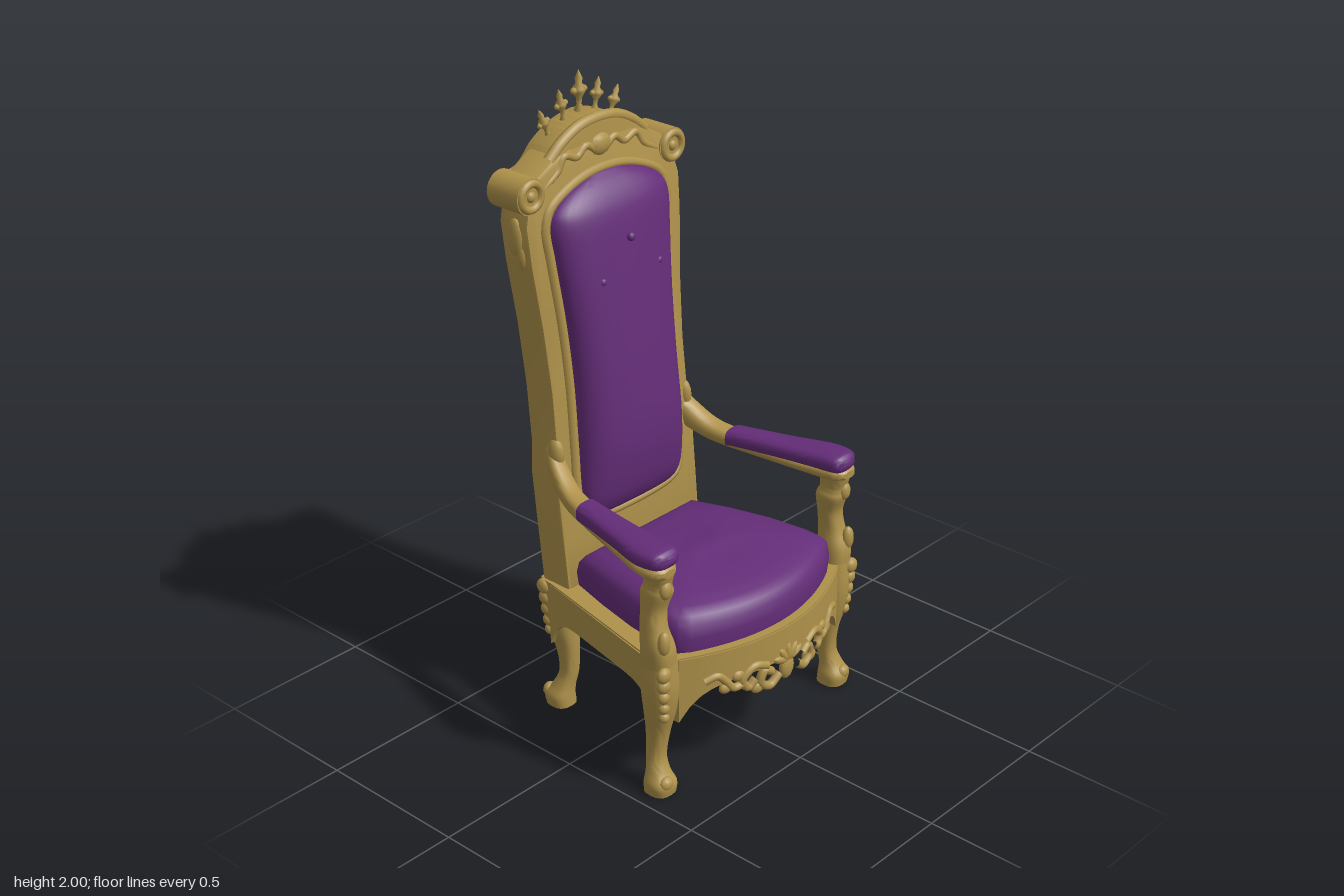
import * as THREE from 'three';
import { toCreasedNormals } from 'three/addons/utils/BufferGeometryUtils.js';

const V = (x, y, z) => new THREE.Vector3(x, y, z);
const gold = new THREE.MeshStandardMaterial({ color: 0xae914a });
gold.name = 'gold';
const purple = new THREE.MeshStandardMaterial({ color: 0x642d78 });
purple.name = 'purple velvet';

// Skin a list of closed rings, capped at both ends
function loft(rings, crease = 0.8) {
  const n = rings[0].length, pos = [], idx = [];
  rings.forEach(r => r.forEach(p => pos.push(p.x, p.y, p.z)));
  for (let i = 0; i < rings.length - 1; i++) for (let j = 0; j < n; j++) {
    const a = i * n + j, b = i * n + (j + 1) % n;
    idx.push(a, b, a + n, b, b + n, a + n);
  }
  [0, rings.length - 1].forEach((ri, end) => {
    const c = rings[ri].reduce((s, p) => s.add(p), V(0, 0, 0)).divideScalar(n);
    const k = pos.length / 3;
    pos.push(c.x, c.y, c.z);
    for (let j = 0; j < n; j++) {
      const a = ri * n + j, b = ri * n + (j + 1) % n;
      if (end) idx.push(k, a, b); else idx.push(k, b, a);
    }
  });
  const g = new THREE.BufferGeometry();
  g.setAttribute('position', new THREE.Float32BufferAttribute(pos, 3));
  g.setIndex(idx);
  return toCreasedNormals(g, crease);
}

// Smooth limb through [x, y, z, halfU, halfV] sections; power > 2 squares the section
function limb(secs, u, v, power = 2.6, steps = 28, sides = 20) {
  const c = new THREE.CatmullRomCurve3(secs.map(s => V(s[0], s[1], s[2])), false, 'catmullrom', 0.5);
  const r = new THREE.CatmullRomCurve3(secs.map(s => V(s[3], s[4], 0)), false, 'catmullrom', 0.5);
  const sp = t => Math.sign(t) * Math.abs(t) ** (2 / power);
  const rings = [];
  for (let i = 0; i <= steps; i++) {
    const p = c.getPoint(i / steps), q = r.getPoint(i / steps);
    rings.push(Array.from({ length: sides }, (_, j) => {
      const a = j / sides * Math.PI * 2;
      return p.clone().addScaledVector(u, sp(Math.cos(a)) * q.x).addScaledVector(v, sp(Math.sin(a)) * q.y);
    }));
  }
  return loft(rings);
}
const X = V(1, 0, 0), Y = V(0, 1, 0), Z = V(0, 0, 1);

const bow = z => 0.44 - 0.105 * (z / 0.36) ** 2;      // curved seat front
const backX = y => -0.30 - 0.096 * (y - 0.45);        // leaning rear plane
const faceX = y => backX(y) + 0.115;                  // leaning front plane

export function createModel() {
  const root = new THREE.Group();
  root.name = 'throneChair';
  const add = (name, geo, mat = gold) => {
    const m = new THREE.Mesh(geo, mat);
    m.name = name;
    root.add(m);
    return m;
  };
  const ball = (name, x, y, z, rx, ry, rz, mat = gold, tilt = 0) => {
    const m = add(name, new THREE.SphereGeometry(1, 12, 8), mat);
    m.position.set(x, y, z);
    m.scale.set(rx, ry, rz);
    m.rotation.x = tilt;
  };
  const tube = (name, pts, r, closed = false) => add(name,
    new THREE.TubeGeometry(new THREE.CatmullRomCurve3(pts, closed), pts.length * 6, r, 8, closed));

  // Seat frame slab
  const plan = new THREE.Shape();
  plan.moveTo(-0.31, -0.3);
  plan.lineTo(0.31, -0.43);
  for (let i = -9; i <= 9; i++) plan.lineTo(bow(i * 0.04), i * 0.04);
  plan.lineTo(0.31, 0.43);
  plan.lineTo(-0.31, 0.3);
  const slab = new THREE.ExtrudeGeometry(plan, { depth: 0.09, bevelEnabled: false });
  slab.rotateX(Math.PI / 2).translate(0, 0.455, 0);
  add('seatFrame', toCreasedNormals(slab, 0.5));

  // Arched rails under the slab
  const rail = (name, p, q, curved) => {
    const w = q.clone().sub(p).normalize(), v = w.clone().cross(Y), rings = [];
    for (let i = 0; i <= 24; i++) {
      const t = i / 24, c = p.clone().lerp(q, t);
      if (curved) c.x = bow(c.z) - 0.012;
      const low = 0.345 - 0.11 * Math.abs(2 * t - 1) ** 7;
      rings.push([[0.45, -1], [0.45, 1], [low, 1], [low, -1]].map(([y, k]) =>
        V(c.x, y, c.z).addScaledVector(v, k * 0.016)).reverse());
    }
    add(name, loft(rings.map(r => r.reverse()), 0.6));
  };
  rail('frontRail', V(0.33, 0, 0.37), V(0.33, 0, -0.37), true);
  rail('rearRail', V(-0.295, 0, -0.25), V(-0.295, 0, 0.25));
  rail('sideRail', V(-0.26, 0, 0.295), V(0.29, 0, 0.415));
  rail('sideRail', V(0.29, 0, -0.415), V(-0.26, 0, -0.295));

  // Seat cushion
  const edge = [[-0.19, 0.262], [-0.05, 0.3], [0.1, 0.333], [0.25, 0.354], [0.31, 0.352]];
  const outline = [...edge];
  for (let i = 8; i >= -8; i--) outline.push([bow(i * 0.04) - 0.022, i * 0.04]);
  edge.slice().reverse().forEach(([x, z]) => outline.push([x, -z]));
  const layers = [[0.45, 0.985], [0.5, 1], [0.545, 0.98], [0.567, 0.93], [0.582, 0.83], [0.592, 0.65], [0.599, 0.4], [0.6, 0.15]];
  add('seatCushion', loft(layers.map(([y, s]) => outline.map(([x, z]) =>
    V(0.1 + (x - 0.1) * s, y - (y > 0.52 ? 0.1 * (x - 0.12) ** 2 : 0), z * s))), 0.9), purple);

  // Leaning back frame
  const sides = [[0.45, 0.3], [0.62, 0.303], [0.82, 0.305], [0.92, 0.292], [1.1, 0.29], [1.3, 0.3], [1.5, 0.32], [1.62, 0.325], [1.74, 0.29], [1.8, 0.18], [1.83, 0.07]];
  const back = new THREE.Shape([
    ...sides.map(([y, z]) => new THREE.Vector2(z, y)),
    ...sides.slice().reverse().map(([y, z]) => new THREE.Vector2(-z, y))]);
  const lean = g => {
    const p = g.attributes.position;
    for (let i = 0; i < p.count; i++) p.setX(i, p.getX(i) + backX(p.getY(i)));
    return toCreasedNormals(g, 0.5);
  };
  add('backFrame', lean(new THREE.ExtrudeGeometry(back, {
    depth: 0.095, bevelThickness: 0.01, bevelSize: 0.008, bevelOffset: -0.008, bevelSegments: 2,
  }).rotateY(Math.PI / 2).translate(0.01, 0, 0)));

  // Back cushion: [y, half width, front x]
  const pad = [[0.655, 0.16, -0.19], [0.68, 0.2, -0.163], [0.75, 0.215, -0.135], [0.9, 0.212, -0.118], [1.1, 0.207, -0.135], [1.3, 0.215, -0.162],
    [1.5, 0.235, -0.193], [1.6, 0.243, -0.212], [1.65, 0.22, -0.232], [1.69, 0.15, -0.262], [1.718, 0.05, -0.295]];
  add('backCushion', limb(pad.map(([y, w, f]) => [faceX(y), y, 0, w, f - faceX(y)]), Z, X, 2.6, 44, 32), purple);
  const lip = pad.map(([y, w]) => V(faceX(y), y, w + 0.012));
  tube('cushionMoulding', [...lip, ...lip.slice().reverse().map(p => V(p.x, p.y, -p.z))], 0.016, true);
  [[1.53, 0, -0.194], [1.42, 0.12, -0.196], [1.42, -0.12, -0.196]].forEach(([y, z, x]) =>
    ball('cushionButton', x, y, z, 0.012, 0.014, 0.014, purple));

  // Crest rail
  const crest = new THREE.Shape();
  crest.moveTo(-0.3, 1.70);
  crest.bezierCurveTo(-0.22, 1.68, -0.2, 1.745, 0, 1.755);
  crest.bezierCurveTo(0.2, 1.745, 0.22, 1.68, 0.3, 1.70);
  crest.lineTo(0.29, 1.755);
  crest.bezierCurveTo(0.21, 1.74, 0.2, 1.79, 0.165, 1.815);
  crest.bezierCurveTo(0.1, 1.86, 0.06, 1.87, 0, 1.875);
  crest.bezierCurveTo(-0.06, 1.87, -0.1, 1.86, -0.165, 1.815);
  crest.bezierCurveTo(-0.2, 1.79, -0.21, 1.74, -0.29, 1.755);
  add('crestRail', toCreasedNormals(new THREE.ExtrudeGeometry(crest, {
    depth: 0.1, bevelThickness: 0.015, bevelSize: 0.01, bevelOffset: -0.01, bevelSegments: 3, curveSegments: 14,
  }).rotateY(Math.PI / 2).translate(-0.43, 0, 0), 0.6));
  tube('crestCap', [[-0.2, 1.785], [-0.15, 1.825], [-0.08, 1.858], [0, 1.868], [0.08, 1.858], [0.15, 1.825], [0.2, 1.785]]
    .map(([z, y]) => V(-0.33, y, z)), 0.018);
  ball('crestShell', -0.318, 1.79, 0, 0.02, 0.035, 0.045);

  // Crown finials fanning out from the crest
  [-2, -1, 0, 1, 2].forEach(k => {
    const f = new THREE.Group(), a = Math.abs(k);
    f.name = 'crownFinial';
    const stem = [[0.016, -0.02], [0.016, 0.005], [0.008, 0.02], [0.009, 0.04], [0.02, 0.058], [0.021, 0.07], [0.01, 0.085], [0.012, 0.1], [0.001, 0.125]];
    f.add(new THREE.Mesh(new THREE.LatheGeometry(stem.map(([r, y]) => new THREE.Vector2(r, y)), 10), gold));
    [-1, 1].forEach(s => {
      const b = new THREE.Mesh(new THREE.SphereGeometry(0.011, 8, 6), gold);
      b.position.set(0, 0.064, s * 0.021);
      f.add(b);
    });
    f.position.set(-0.4, [1.873, 1.858, 1.826][a], k * 0.064);
    f.rotation.x = k * 0.2;
    f.scale.setScalar([1, 0.82, 0.78][a]);
    root.add(f);
  });

  for (const s of [1, -1]) {
    // Shoulder scrolls and crest leaves
    const roll = add('shoulderScroll', new THREE.CylinderGeometry(0.056, 0.056, 0.125, 24).rotateZ(Math.PI / 2));
    roll.position.set(-0.365, 1.71, s * 0.3);
    const ring = add('scrollVolute', new THREE.TorusGeometry(0.04, 0.013, 8, 24).rotateY(Math.PI / 2));
    ring.position.set(-0.304, 1.71, s * 0.3);
    ball('scrollEye', -0.304, 1.71, s * 0.3, 0.012, 0.017, 0.017);
    tube('crestLeaf', [[0.02, 1.775], [0.06, 1.80], [0.1, 1.775], [0.15, 1.79], [0.18, 1.75], [0.24, 1.715]]
      .map(([z, y]) => V(-0.318, y, s * z)), 0.013);
    ball('stileLeaf', -0.35, 1.58, s * 0.322, 0.03, 0.06, 0.016);
    ball('stileLeaf', -0.33, 1.52, s * 0.316, 0.02, 0.04, 0.014);
    ball('stileLeaf', -0.245, 0.9, s * 0.285, 0.03, 0.05, 0.022);

    // Arm, arm pad and arm support
    add('armRail', limb([[-0.27, 0.87, s * 0.275, 0.06, 0.028], [-0.22, 0.835, s * 0.293, 0.045, 0.034], [-0.15, 0.797, s * 0.315, 0.032, 0.036],
      [-0.07, 0.781, s * 0.335, 0.028, 0.038], [0.1, 0.766, s * 0.374, 0.022, 0.045], [0.25, 0.762, s * 0.407, 0.024, 0.055],
      [0.31, 0.762, s * 0.41, 0.024, 0.048], [0.335, 0.762, s * 0.41, 0.012, 0.025]], Y, Z));
    add('armPad', limb([[-0.075, 0.788, s * 0.334, 0.031, 0.041], [0.1, 0.794, s * 0.374, 0.029, 0.051], [0.23, 0.798, s * 0.403, 0.031, 0.061],
      [0.3, 0.8, s * 0.406, 0.031, 0.056], [0.325, 0.8, s * 0.404, 0.025, 0.042], [0.337, 0.8, s * 0.402, 0.008, 0.016]], Y, Z, 2.8), purple);
    add('armSupport', limb([[0.283, 0.43, s * 0.403, 0.045, 0.055], [0.285, 0.5, s * 0.408, 0.045, 0.052], [0.272, 0.56, s * 0.41, 0.037, 0.042],
      [0.267, 0.62, s * 0.405, 0.037, 0.037], [0.275, 0.68, s * 0.4, 0.042, 0.048], [0.28, 0.71, s * 0.402, 0.035, 0.042],
      [0.285, 0.765, s * 0.405, 0.044, 0.05]], Z, X));
    ball('supportLeaf', 0.325, 0.53, s * 0.425, 0.018, 0.04, 0.022);
    ball('supportLeaf', 0.318, 0.7, s * 0.41, 0.016, 0.03, 0.022);

    // Cabriole legs
    add('frontLeg', limb([[0.293, 0, s * 0.41, 0.045, 0.046], [0.296, 0.035, s * 0.412, 0.047, 0.046], [0.285, 0.07, s * 0.41, 0.035, 0.034],
      [0.272, 0.12, s * 0.403, 0.029, 0.03], [0.275, 0.2, s * 0.398, 0.033, 0.036], [0.284, 0.28, s * 0.4, 0.044, 0.048],
      [0.287, 0.36, s * 0.402, 0.05, 0.056], [0.284, 0.455, s * 0.402, 0.046, 0.054]], Z, X));
    add('rearLeg', limb([[-0.265, 0, s * 0.268, 0.044, 0.044], [-0.268, 0.035, s * 0.27, 0.044, 0.046], [-0.257, 0.07, s * 0.262, 0.034, 0.035],
      [-0.245, 0.12, s * 0.25, 0.029, 0.029], [-0.248, 0.2, s * 0.25, 0.034, 0.036], [-0.258, 0.28, s * 0.26, 0.044, 0.048],
      [-0.263, 0.36, s * 0.265, 0.048, 0.054], [-0.26, 0.455, s * 0.268, 0.044, 0.054]], Z, X));
    [0.43, 0.39, 0.35, 0.31, 0.275].forEach((y, i) => {
      const r = 0.026 - i * 0.002;
      ball('frontKneeCarving', 0.333 - i * 0.003, y, s * (0.435 - i * 0.003), 0.018, r, r);
      ball('rearKneeCarving', -0.292 + i * 0.003, y, s * (0.308 - i * 0.003), r, r, 0.016);
    });
    ball('toeScroll', 0.326, 0.04, s * 0.42, 0.02, 0.024, 0.026);
    ball('toeScroll', -0.3, 0.04, s * 0.285, 0.02, 0.024, 0.024);

    // Carved apron scrolls
    const onApron = pts => pts.map(([z, y]) => V(bow(z) + 0.002, y, s * z));
    tube('apronScroll', onApron([[0.04, 0.3], [0.08, 0.275], [0.115, 0.3], [0.1, 0.335], [0.07, 0.32]]), 0.014);
    tube('apronScroll', onApron([[0.09, 0.35], [0.14, 0.365], [0.18, 0.33], [0.16, 0.3], [0.135, 0.32]]), 0.014);
    tube('apronScroll', onApron([[0.17, 0.32], [0.21, 0.315], [0.235, 0.345], [0.26, 0.37], [0.3, 0.36]]), 0.013);
    [[0.12, 0.285, 0.022], [0.19, 0.35, 0.02], [0.23, 0.32, 0.02]].forEach(([z, y, r]) =>
      ball('apronLeaf', bow(z) - 0.004, y, s * z, 0.016, r, r * 1.3));
  }

  // Apron shell
  for (let i = -2; i <= 2; i++)
    ball('apronShell', 0.438, 0.335 + Math.cos(i * 0.6) * 0.022, Math.sin(i * 0.6) * 0.035, 0.014, 0.035, 0.014, gold, i * 0.6);
  ball('apronShell', 0.436, 0.305, 0, 0.016, 0.042, 0.03);
  return root;
}
